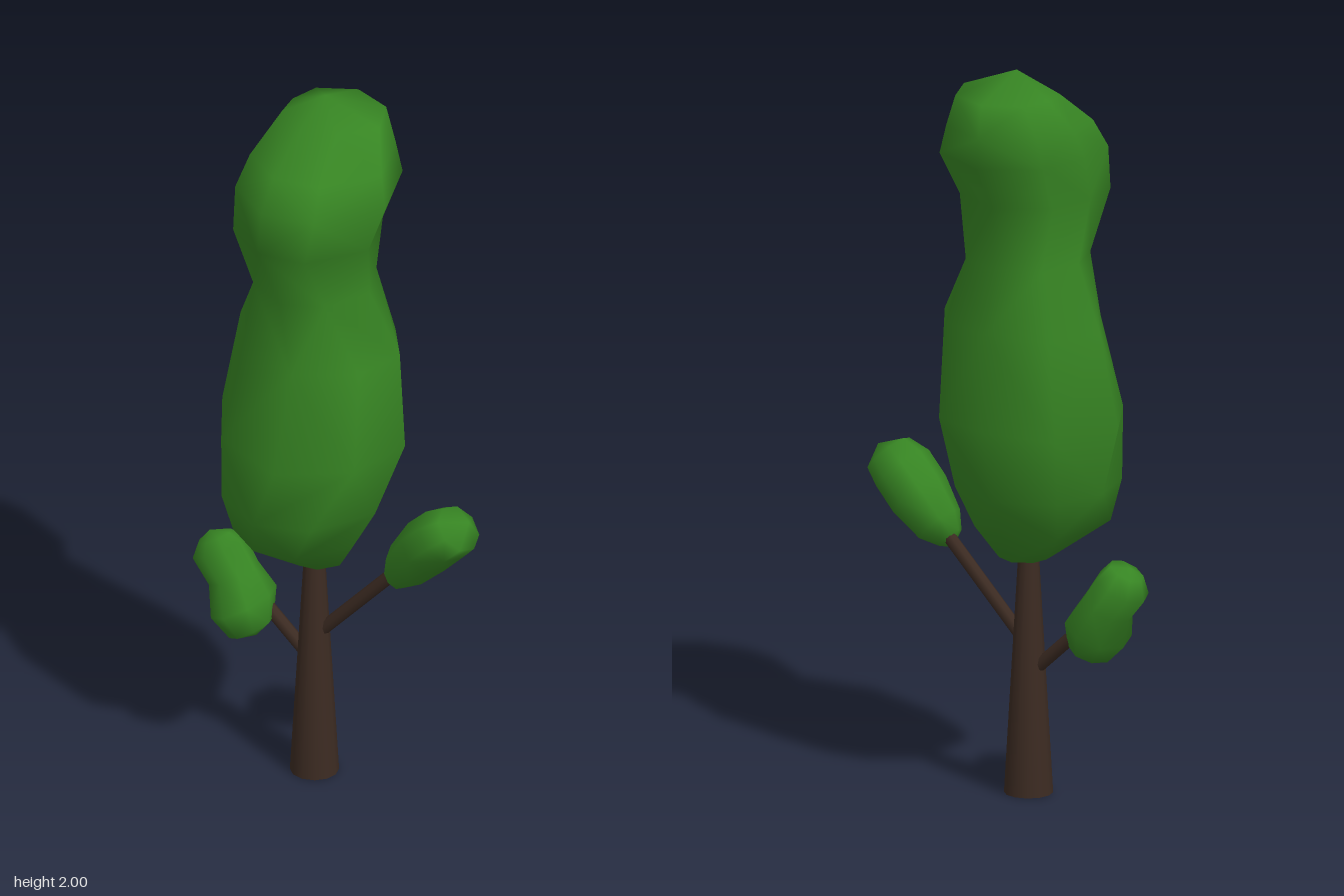
import * as THREE from 'three';

const SIDES = 8;

// Cross-section outlines within a -1..1 square, as [x, z] corners
const ROUND = Array.from({ length: SIDES }, (_, j) => {
  const a = (j / SIDES) * Math.PI * 2;
  return [Math.cos(a), Math.sin(a)];
});
const BODY = [[1, -0.2], [0.84, 0.54], [0.2, 1], [-0.6, 0.6], [-1, -0.16], [-0.75, -0.94], [0.05, -1], [0.67, -0.77]];
const HEAD = [[1, 0.23], [0.43, 0.94], [-0.29, 1], [-0.93, 0.6], [-1, 0.02], [-0.83, -0.62], [-0.1, -1], [0.69, -0.64]];

// Closed leafy mass between two pole points, from rings of
// [height, xMin, xMax, zMin, zMax, blend from the first outline to the second]
function foliage(name, bottom, rings, top, material, first = ROUND, second = ROUND) {
  const pos = [...bottom];
  const index = [];
  for (const [y, x0, x1, z0, z1, blend = 0] of rings) {
    for (let j = 0; j < SIDES; j++) {
      const u = THREE.MathUtils.lerp(first[j][0], second[j][0], blend);
      const v = THREE.MathUtils.lerp(first[j][1], second[j][1], blend);
      pos.push((x0 + x1 + u * (x1 - x0)) / 2, y, (z0 + z1 + v * (z1 - z0)) / 2);
    }
  }
  pos.push(...top);
  const last = pos.length / 3 - 1;
  const end = rings.length - 1;
  const at = (i, j) => 1 + i * SIDES + (j % SIDES);
  for (let j = 0; j < SIDES; j++) {
    index.push(0, at(0, j), at(0, j + 1));
    for (let i = 0; i < end; i++) {
      const a = at(i, j), b = at(i, j + 1), c = at(i + 1, j), d = at(i + 1, j + 1);
      // alternating diagonals keep the surface organic
      if ((i + j) % 2) index.push(a, c, b, b, c, d);
      else index.push(a, d, b, a, c, d);
    }
    index.push(at(end, j), last, at(end, j + 1));
  }
  const geometry = new THREE.BufferGeometry();
  geometry.setAttribute('position', new THREE.Float32BufferAttribute(pos, 3));
  geometry.setIndex(index);
  geometry.computeVertexNormals();
  const mesh = new THREE.Mesh(geometry, material);
  mesh.name = name;
  return mesh;
}

// Tapered round limb between two points
function limb(name, from, to, r0, r1, sides, material) {
  const a = new THREE.Vector3(...from), b = new THREE.Vector3(...to);
  const dir = b.clone().sub(a);
  const mesh = new THREE.Mesh(new THREE.CylinderGeometry(r1, r0, dir.length(), sides), material);
  mesh.position.copy(a).add(b).multiplyScalar(0.5);
  mesh.quaternion.setFromUnitVectors(new THREE.Vector3(0, 1, 0), dir.normalize());
  mesh.name = name;
  return mesh;
}

export function createModel() {
  const leaf = new THREE.MeshStandardMaterial({ name: 'leaf green', color: 0x378523 });
  const bark = new THREE.MeshStandardMaterial({ name: 'bark brown', color: 0x3c2b22 });
  const tree = new THREE.Group();
  tree.name = 'tree';

  // Trunk and branches
  tree.add(
    limb('trunk', [-0.077, 0, -0.022], [-0.077, 0.75, -0.022], 0.065, 0.022, 12, bark),
    limb('leftBranch', [-0.07, 0.41, -0.022], [0.24, 0.735, -0.022], 0.018, 0.018, 8, bark),
    limb('rightBranch', [-0.08, 0.325, -0.022], [-0.26, 0.49, -0.022], 0.018, 0.018, 8, bark)
  );

  // Main crown, with a waist and a head that leans back
  tree.add(foliage('crown', [-0.05, 0.63, -0.02], [
    [0.645, -0.13, 0.01, -0.09, 0.05, 1],
    [0.74, -0.26, 0.075, -0.20, 0.19, 1],
    [0.85, -0.30, 0.135, -0.235, 0.24, 0.7],
    [1.04, -0.36, 0.19, -0.245, 0.275, 0],
    [1.30, -0.315, 0.165, -0.215, 0.19, 0],
    [1.48, -0.245, 0.09, -0.205, 0.15, 0.5],
    [1.65, -0.255, 0.125, -0.21, 0.205, 1],
    [1.77, -0.26, 0.16, -0.275, 0.20, 1],
    [1.85, -0.24, 0.13, -0.265, 0.14, 1],
    [1.94, -0.20, 0.08, -0.25, 0.005, 1],
  ], [-0.08, 2.0, -0.085], leaf, BODY, HEAD));

  // Small clump on the left branch
  const leftClump = foliage('leftClump', [0.012, -0.178, -0.01], [
    [-0.155, -0.035, 0.038, -0.045, 0.03],
    [-0.11, -0.072, 0.058, -0.09, 0.05],
    [-0.014, -0.093, 0.065, -0.115, 0.076],
    [0.07, -0.09, 0.065, -0.105, 0.09],
    [0.127, -0.07, 0.064, -0.075, 0.07],
  ], [0, 0.163, -0.01], leaf);
  leftClump.position.set(0.285, 0.765, 0);
  leftClump.rotation.z = -Math.PI / 4;

  // Small clump on the right branch
  const rightClump = foliage('rightClump', [0, -0.156, 0.02], [
    [-0.13, -0.058, 0.06, -0.05, 0.1],
    [-0.06, -0.085, 0.09, -0.095, 0.125],
    [0.02, -0.069, 0.073, -0.07, 0.08],
    [0.1, -0.089, 0.06, -0.08, 0.075],
    [0.135, -0.05, 0.05, -0.03, 0.06],
  ], [-0.01, 0.153, 0.01], leaf);
  rightClump.position.set(-0.3, 0.52, 0);
  rightClump.rotation.z = 0.463;

  tree.add(leftClump, rightClump);
  return tree;
}
